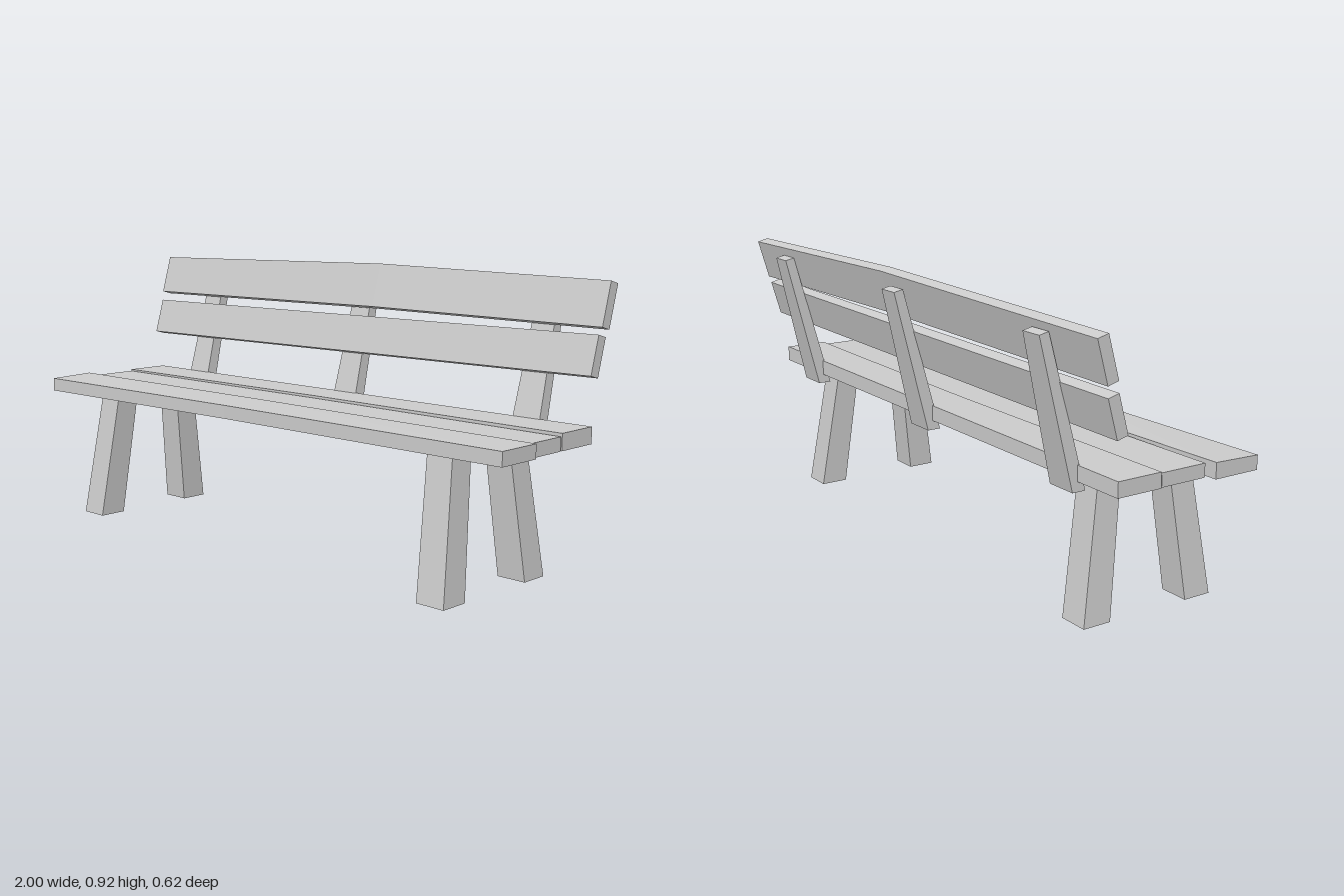
import * as THREE from 'three';

const material = new THREE.MeshStandardMaterial({ color: 0xcccccc, flatShading: true, side: THREE.DoubleSide });

// Lofts through four-cornered sections; corners run counter-clockwise seen from the last section.
function loft(name, sections, capped = true) {
  const pos = [];
  const quad = (a, b, c, d) => pos.push(...a, ...b, ...c, ...a, ...c, ...d);
  for (let s = 0; s < sections.length - 1; s++) {
    const p = sections[s], q = sections[s + 1];
    for (let i = 0; i < 4; i++) {
      const j = (i + 1) % 4;
      quad(p[i], p[j], q[j], q[i]);
    }
  }
  if (capped) {
    const [a, b, c, d] = sections[0];
    quad(d, c, b, a);
    quad(...sections[sections.length - 1]);
  }
  const geometry = new THREE.BufferGeometry();
  geometry.setAttribute('position', new THREE.Float32BufferAttribute(pos, 3));
  geometry.computeVertexNormals();
  const mesh = new THREE.Mesh(geometry, material);
  mesh.name = name;
  return mesh;
}

// Seat plank running along x; each station is [x, back z, front z, top at back, top at front].
const seatPlank = (name, stations) => loft(name, stations.map(([x, zb, zf, yb, yf]) => [
  [x, 0.43, zf], [x, 0.43, zb], [x, yb, zb], [x, yf, zf],
]));

// Leaning slat running along x; each station is [x, bottom y, top y, z of the lower front edge].
const backSlat = (name, stations) => loft(name, stations.map(([x, y0, y1, z]) => {
  const lean = (y1 - y0) * 0.29;
  return [[x, y0, z], [x, y0 - 0.01, z - 0.037], [x, y1 - 0.01, z - lean - 0.037], [x, y1, z - lean]];
}));

// Horizontal rectangle used as a section of an upright.
const rect = (y, x0, x1, zb, zf, drop = 0) => [
  [x0, y, zf], [x1, y, zf], [x1, y - drop, zb], [x0, y - drop, zb],
];

export function createModel() {
  const bench = new THREE.Group();
  bench.name = 'bench';

  // Seat: three slightly uneven planks
  bench.add(
    seatPlank('frontSeatPlank', [
      [-1, 0.152, 0.312, 0.48, 0.475], [-0.1, 0.125, 0.28, 0.477, 0.474], [1, 0.115, 0.27, 0.474, 0.474],
    ]),
    seatPlank('middleSeatPlank', [
      [-0.97, -0.022, 0.138, 0.473, 0.473], [0, -0.036, 0.122, 0.473, 0.473], [0.985, -0.025, 0.113, 0.473, 0.473],
    ]),
    seatPlank('backSeatPlank', [
      [-0.975, -0.182, -0.028, 0.478, 0.478], [0, -0.182, -0.042, 0.48, 0.48], [0.985, -0.182, -0.031, 0.482, 0.482],
    ]),
  );

  // Backrest: two leaning slats
  bench.add(
    backSlat('upperBackSlat', [
      [-1, 0.765, 0.896, -0.21], [0.1, 0.775, 0.916, -0.204], [0.988, 0.77, 0.903, -0.214],
    ]),
    backSlat('lowerBackSlat', [[-1, 0.612, 0.732, -0.173], [0.98, 0.63, 0.748, -0.175]]),
  );

  // Tapered posts behind the backrest
  for (const x of [-0.75, 0.005, 0.755]) {
    bench.add(loft('backPost', [
      rect(0.4, x - 0.052, x + 0.052, -0.2, -0.155),
      rect(0.867, x - 0.038, x + 0.038, -0.312, -0.28, 0.007),
    ]));
  }

  // Splayed legs, open at the ends
  for (const side of [-1, 1]) {
    const foot = side < 0 ? -0.793 : 0.78;
    const top = side < 0 ? -0.762 : 0.755;
    bench.add(
      loft('frontLeg', [
        rect(0, foot - 0.05, foot + 0.05, 0.202, 0.298),
        rect(0.432, top - 0.046, top + 0.046, 0.148, 0.232),
      ], false),
      loft('backLeg', [
        rect(0, foot - 0.05, foot + 0.05, -0.182, -0.086),
        rect(0.432, top - 0.046, top + 0.046, -0.114, -0.032),
      ], false),
    );
  }
  return bench;
}
